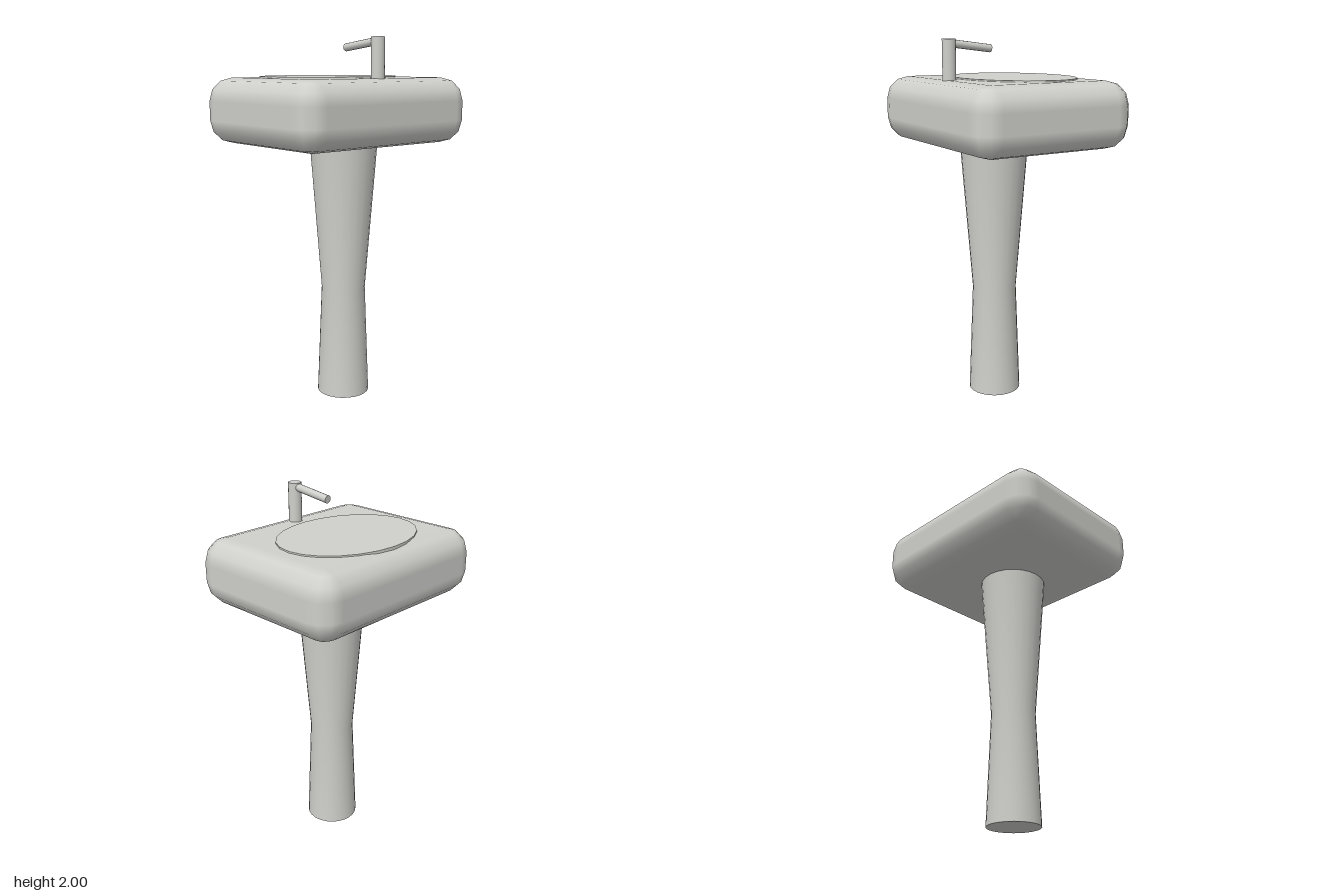
import * as THREE from 'three';

const ceramic = new THREE.MeshStandardMaterial({ color: 0xcfcfcb });
ceramic.name = 'pale grey ceramic';

// Rounded block: a sphere grid pulled apart at its octants, with flat caps
function roundedBlock(width, height, depth, radius, steps) {
  const position = [], normal = [], index = [];
  const hx = width / 2 - radius, hy = height / 2 - radius, hz = depth / 2 - radius;
  const around = 4 * (steps + 1), rings = 2 * (steps + 1);
  const quarter = Math.PI / 2;
  for (let i = 0; i < rings; i++) {
    const upper = i > steps;
    const phi = quarter * (upper ? (i - steps - 1) / steps : i / steps - 1);
    for (let j = 0; j < around; j++) {
      const corner = Math.floor(j / (steps + 1));
      const theta = quarter * (corner + (j % (steps + 1)) / steps);
      const n = [Math.cos(phi) * Math.cos(theta), Math.sin(phi), Math.cos(phi) * Math.sin(theta)];
      const sx = corner === 0 || corner === 3 ? 1 : -1;
      const sz = corner < 2 ? 1 : -1;
      normal.push(...n);
      position.push(sx * hx + radius * n[0], (upper ? hy : -hy) + radius * n[1], sz * hz + radius * n[2]);
    }
  }
  for (let i = 0; i < rings - 1; i++) {
    for (let j = 0; j < around; j++) {
      const a = i * around + j, b = i * around + (j + 1) % around;
      index.push(a, a + around, b, b, a + around, b + around);
    }
  }
  const top = (rings - 1) * around;
  for (let j = 1; j < around - 1; j++) {
    index.push(0, j, j + 1, top, top + j + 1, top + j);
  }
  const geometry = new THREE.BufferGeometry();
  geometry.setAttribute('position', new THREE.Float32BufferAttribute(position, 3));
  geometry.setAttribute('normal', new THREE.Float32BufferAttribute(normal, 3));
  geometry.setIndex(index);
  return geometry;
}

export function createModel() {
  const group = new THREE.Group();
  group.name = 'pedestalSink';

  function add(name, geometry, x, y, z) {
    const mesh = new THREE.Mesh(geometry, ceramic);
    mesh.name = name;
    mesh.position.set(x, y, z);
    group.add(mesh);
    return mesh;
  }

  // Waisted pedestal with a flat foot
  const profile = [[0.147, 0], [0.123, 0.62], [0.187, 1.44]].map(([r, y]) => new THREE.Vector2(r, y));
  add('pedestal', new THREE.LatheGeometry(profile, 24), 0, 0, 0.055);
  add('pedestalFoot', new THREE.CircleGeometry(0.147, 24).rotateX(Math.PI / 2), 0, 0, 0.055);

  // Soft-edged basin block
  add('basin', roundedBlock(1.156, 0.355, 0.944, 0.125, 3), 0, 1.6125, 0);

  // Oval bowl plate, just proud of the basin top
  const bowl = add('bowlOval', new THREE.CylinderGeometry(1, 1, 0.03, 24), 0, 1.783, -0.066);
  bowl.scale.set(0.412, 1, 0.314);

  // Tap: upright post and a spout sloping down over the bowl
  add('tapPost', new THREE.CylinderGeometry(0.036, 0.036, 0.22, 16), 0, 1.89, 0.325);
  const start = new THREE.Vector3(0, 1.978, 0.32), end = new THREE.Vector3(0, 1.949, 0.076);
  const direction = end.clone().sub(start);
  const middle = start.clone().add(end).multiplyScalar(0.5);
  const spout = add('tapSpout', new THREE.CylinderGeometry(0.021, 0.021, direction.length(), 12),
    middle.x, middle.y, middle.z);
  spout.quaternion.setFromUnitVectors(new THREE.Vector3(0, 1, 0), direction.normalize());

  return group;
}
